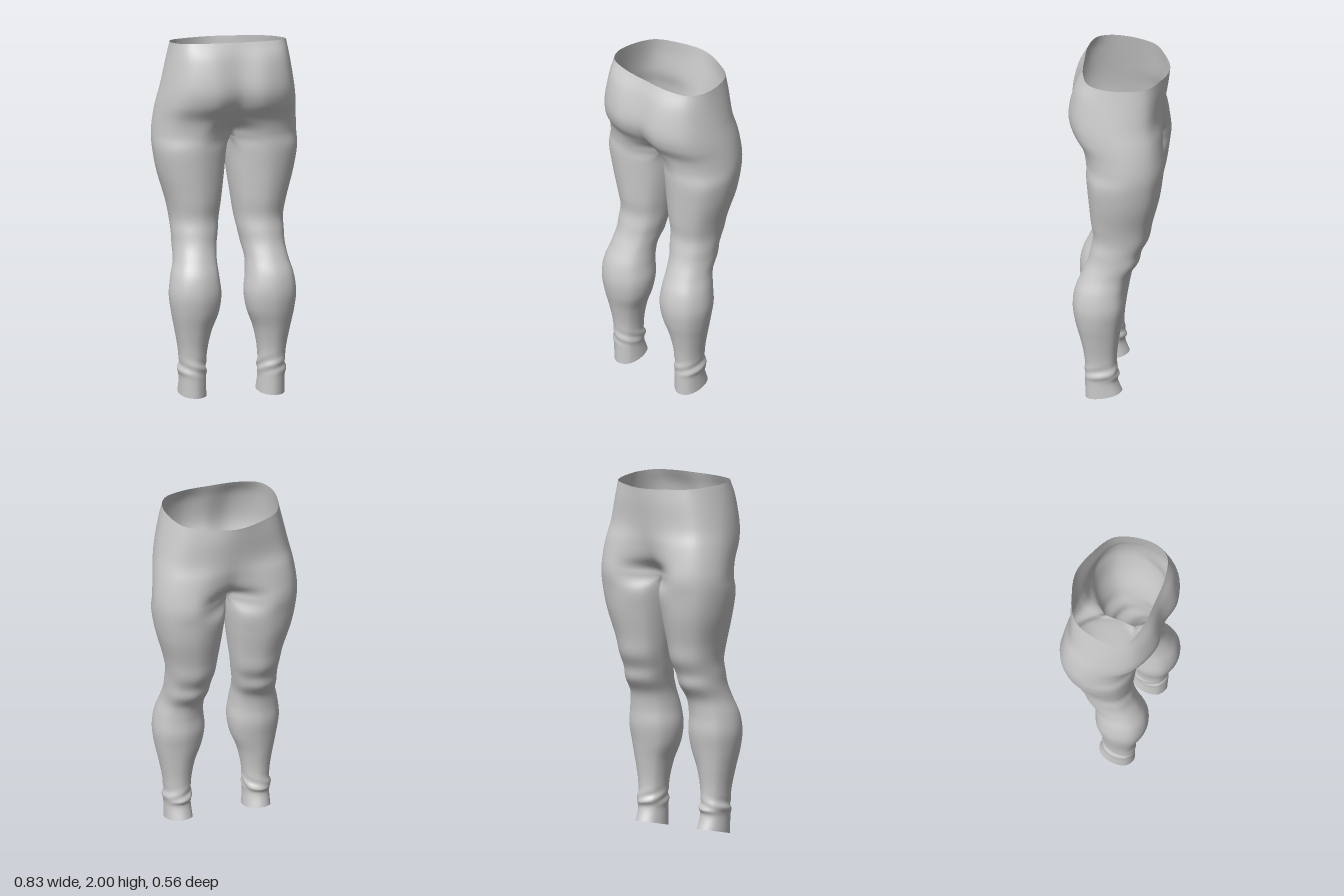
import * as THREE from 'three';
import { mergeVertices } from 'three/addons/utils/BufferGeometryUtils.js';

// Hips: y, side x, side z, front peak x, z, front centre z, back peak x, z, back centre z
const HIPS = [
  [2.00, .325, .05, .15, -.235, -.275, .17, .197, .205],
  [1.90, .345, .03, .16, -.235, -.265, .16, .250, .238],
  [1.75, .375, .00, .18, -.228, -.243, .15, .280, .262],
  [1.65, .395, -.03, .20, -.245, -.225, .15, .262, .235],
  [1.56, .408, -.05, .21, -.255, -.190, .16, .205, .165],
  [1.47, .415, -.06, .21, -.260, -.100, .18, .178, .080],
];
// Legs: y, inner x, outer x, front z, back z
const LEGS = [
  [1.38, .006, .412, -.252, .175], [1.25, .020, .388, -.232, .165],
  [1.10, .040, .345, -.195, .152], [1.00, .055, .325, -.175, .140],
  [0.92, .067, .322, -.135, .152], [0.85, .080, .322, -.118, .168],
  [0.77, .090, .330, -.065, .200], [0.68, .085, .353, -.047, .237],
  [0.58, .075, .365, -.045, .250], [0.48, .090, .353, -.028, .237],
  [0.38, .128, .332, -.012, .210], [0.28, .150, .313, .000, .188],
  [0.20, .157, .305, .000, .180], [0.15, .155, .311, -.012, .182],
  [0.10, .158, .304, -.003, .180], [0.00, .153, .305, -.028, .178],
];
const CROTCH = HIPS.length - 1;
const STEP = 6;        // rings per row
const SEG = 6;         // points per span of a ring
const WIDTH = 9 * SEG; // full ring; the first 6 spans are the outer half
const OUTER = 6 * SEG;

// Nine control points: front centre, front, corner, side, corner, back, back centre, two inner
function hipPoints([y, ox, oz, fx, fz, f0, bx, bz, b0]) {
  const k = .72;
  return [
    [0, f0], [fx, fz], [fx + (ox - fx) * k, oz + (fz - oz) * k], [ox, oz],
    [bx + (ox - bx) * k, oz + (bz - oz) * k], [bx, bz], [0, b0],
    [0, b0 + (f0 - b0) / 3], [0, f0 + (b0 - f0) / 3],
  ].map(([x, z]) => new THREE.Vector3(x, y, z));
}

function legPoints([y, xi, xo, zf, zb]) {
  const cx = (xi + xo) / 2, hx = (xo - xi) / 2;
  const cz = (zf + zb) / 2, hz = (zb - zf) / 2, k = .73;
  return [
    [-k, -k], [0, -1], [k, -k], [1, 0], [k, k], [0, 1], [-k, k], [-.98, .27], [-.98, -.27],
  ].map(([u, v]) => new THREE.Vector3(cx + u * hx, y, cz + v * hz));
}

// Slanted waist and hems, bunched cloth above the ankle
function finish(p, j) {
  const top = Math.max(0, (p.y - 1.8) / .2);
  const hem = Math.max(0, 1 - p.y / .15);
  const bunch = Math.exp(-(((p.y - .17) / .04) ** 2));
  const a = j / WIDTH * Math.PI * 2;
  const fold = 1 + .05 * bunch * Math.sin(3 * a + p.y * 90);
  if (p.y < .4) {
    p.x = .23 + (p.x - .23) * fold;
    p.z = .09 + (p.z - .09) * fold;
  }
  p.y -= top * .032 * THREE.MathUtils.clamp((.2 - p.z) / .48, 0, 1);
  p.y += hem * .04 * Math.max(0, .178 - p.z) / .2;
  return p;
}

function createLeggingsGeometry() {
  const rows = [...HIPS.map(hipPoints), ...LEGS.map(legPoints)];
  const columns = rows[0].map((_, c) =>
    new THREE.CatmullRomCurve3(rows.map(r => r[c]), false, 'catmullrom', .5));
  const count = (rows.length - 1) * STEP;
  const split = CROTCH * STEP;
  const half = [];

  for (let s = 0; s <= count; s++) {
    const pts = columns.map(c => c.getPoint(s / count));
    if (s <= split) {
      // Hold the centre line, and shape its neighbours so both halves join smoothly
      for (const c of [0, 6, 7, 8]) pts[c].x = 0;
      const b = (s / split) ** 3;
      const mirrored = p => new THREE.Vector3(-p.x, p.y, p.z);
      pts[7].lerp(mirrored(pts[5]), 1 - b);
      pts[8].lerp(mirrored(pts[1]), 1 - b);
    }
    const ring = new THREE.CatmullRomCurve3(pts, true, 'centripetal');
    for (let j = 0; j < WIDTH; j++) {
      const p = finish(ring.getPoint(j / WIDTH), j);
      p.x = Math.max(s > split ? .001 : 0, p.x);
      if (s <= split && (j === 0 || j >= OUTER)) p.x = 0;
      half.push(p);
    }
  }

  // Both mirrored halves; the inner spans exist only below the crotch
  const positions = [], index = [];
  for (const side of [1, -1]) {
    const base = positions.length / 3;
    for (const p of half) positions.push(p.x * side, p.y, p.z);
    for (let s = 0; s < count; s++) {
      const spans = s < split ? OUTER : WIDTH;
      for (let j = 0; j < spans; j++) {
        const a = base + s * WIDTH + j, b = base + s * WIDTH + (j + 1) % WIDTH;
        const c = a + WIDTH, d = b + WIDTH;
        if (side > 0) index.push(a, b, c, b, d, c);
        else index.push(a, c, b, b, c, d);
      }
    }
  }
  const geometry = new THREE.BufferGeometry();
  geometry.setAttribute('position', new THREE.Float32BufferAttribute(positions, 3));
  geometry.setIndex(index);
  const merged = mergeVertices(geometry, 1e-5);
  merged.computeVertexNormals();
  return merged;
}

export function createModel() {
  const group = new THREE.Group();
  group.name = 'leggings';
  const material = new THREE.MeshStandardMaterial({ color: 0xcccccc, side: THREE.DoubleSide });
  const cloth = new THREE.Mesh(createLeggingsGeometry(), material);
  cloth.name = 'hipsAndLegs';
  group.add(cloth);
  return group;
}
